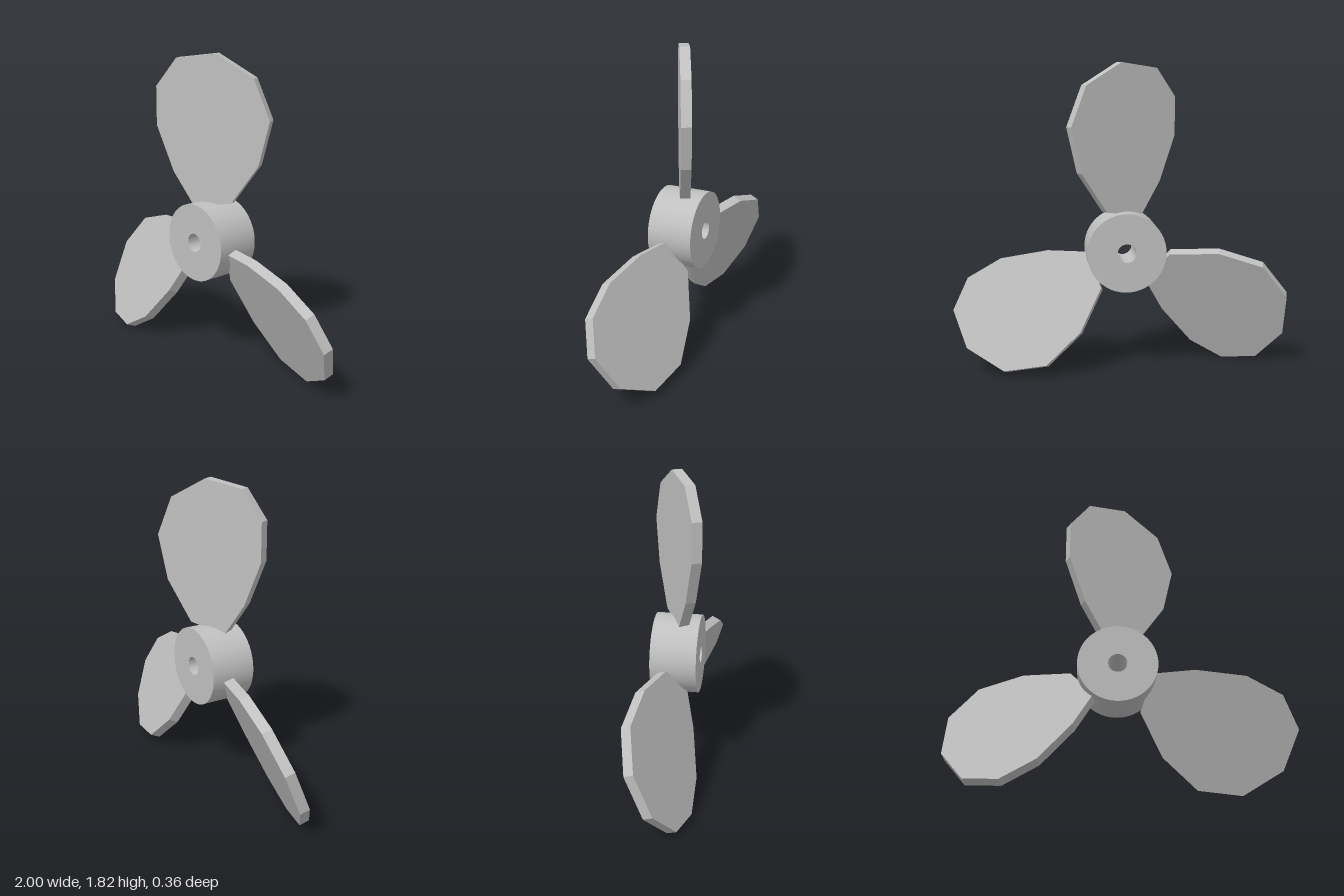
import * as THREE from 'three';
import { toCreasedNormals } from 'three/addons/utils/BufferGeometryUtils.js';

const PITCH = 0.445; // blade twist about its own radius
const THICK = 0.06;

export function createModel() {
  const metal = new THREE.MeshStandardMaterial({ color: 0xc0c0c0 });
  metal.name = 'light grey metal';

  const model = new THREE.Group();
  model.name = 'propeller';
  model.position.set(-0.0275, 0.73, 0);

  // Hub: smooth ring with a through bore
  const ring = new THREE.Shape().absarc(0, 0, 0.232, 0, Math.PI * 2, false);
  ring.holes.push(new THREE.Path().absarc(0, 0, 0.055, 0, Math.PI * 2, true));
  const hubGeo = new THREE.ExtrudeGeometry(ring, { depth: 0.27, bevelEnabled: false, curveSegments: 48 });
  hubGeo.translate(0, 0, -0.13);
  const hub = new THREE.Mesh(toCreasedNormals(hubGeo, 0.6), metal);
  hub.name = 'hub';
  model.add(hub);

  // Blade: faceted flat plate, pitched, root buried in the hub
  const outline = [
    [-0.1, 0.2], [0.135, 0.235], [0.301, 0.47], [0.367, 0.735], [0.268, 0.97],
    [0.035, 1.1], [-0.208, 1.067], [-0.336, 0.9], [-0.336, 0.67], [-0.231, 0.4],
  ].map(([x, y]) => new THREE.Vector2(x, y));
  const bladeGeo = new THREE.ExtrudeGeometry(new THREE.Shape(outline), { depth: THICK, bevelEnabled: false });
  bladeGeo.translate(0, 0, 0.0365 - THICK);
  bladeGeo.rotateY(PITCH);

  ['topBlade', 'leftBlade', 'rightBlade'].forEach((name, i) => {
    const blade = new THREE.Mesh(bladeGeo, metal);
    blade.name = name;
    blade.rotation.z = (-i * Math.PI * 2) / 3;
    model.add(blade);
  });

  const group = new THREE.Group();
  group.name = 'propellerModel';
  group.add(model);
  return group;
}
